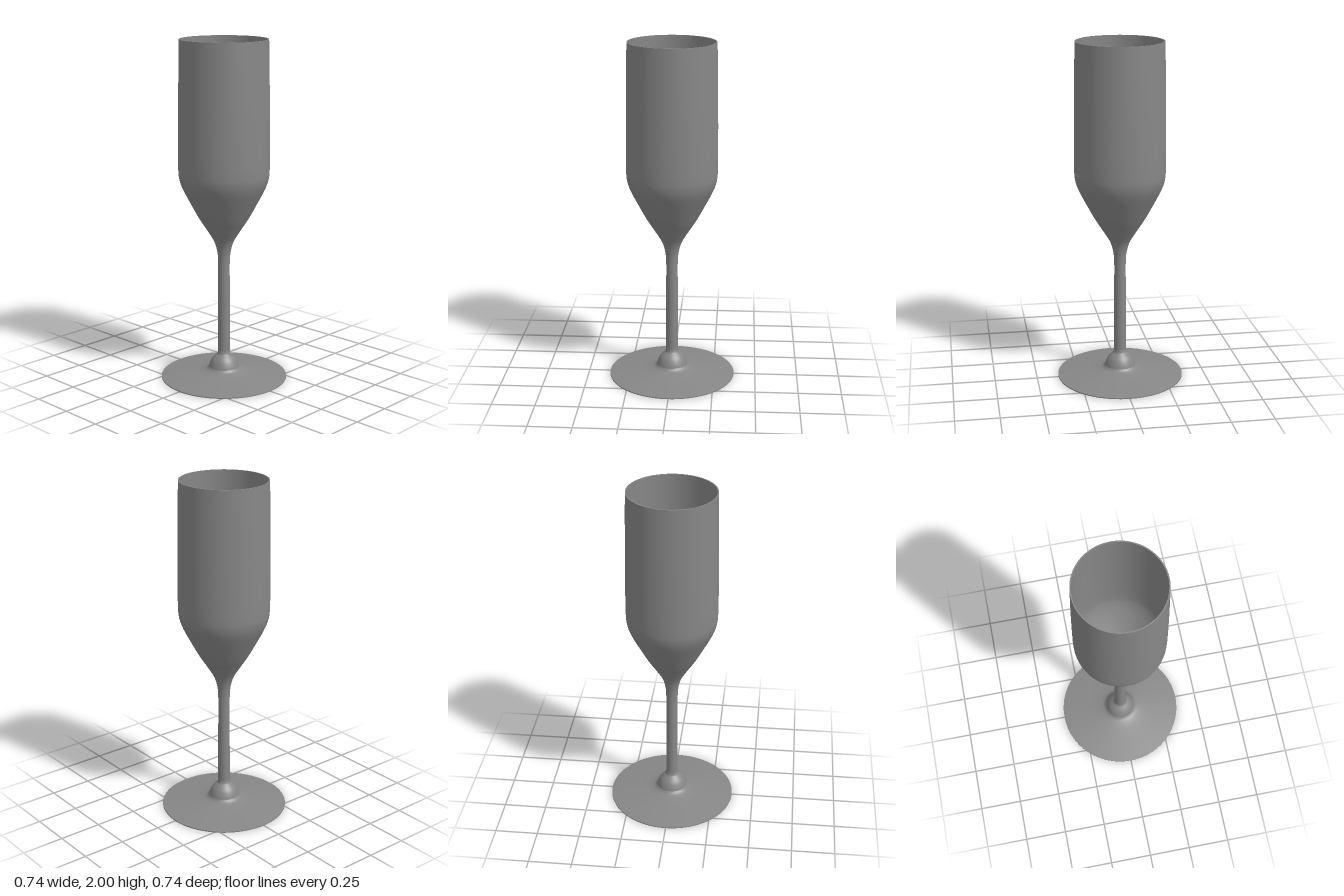
import * as THREE from 'three';

const material = new THREE.MeshStandardMaterial({ color: 0x878787 });
const SEGMENTS = 96;

// Smooth curve through [radius, height] pairs
function smooth(pairs, divisions) {
  const curve = new THREE.SplineCurve(pairs.map(([r, y]) => new THREE.Vector2(r, y)));
  return curve.getPoints(divisions).map((p) => new THREE.Vector2(Math.max(p.x, 0), p.y));
}

function straight(pairs) {
  return pairs.map(([r, y]) => new THREE.Vector2(r, y));
}

function turned(name, points) {
  const mesh = new THREE.Mesh(new THREE.LatheGeometry(points, SEGMENTS), material);
  mesh.name = name;
  return mesh;
}

export function createModel() {
  const glass = new THREE.Group();
  glass.name = 'fluteGlass';

  // Foot: flat underside, thin edge, gently rising top
  glass.add(turned('footUnderside', straight([[0, 0], [0.372, 0]])));
  glass.add(turned('footEdge', straight([[0.372, 0], [0.372, 0.006]])));
  glass.add(turned('footTop', smooth([
    [0.372, 0.006], [0.3, 0.015], [0.2, 0.027], [0.14, 0.036], [0.105, 0.046], [0.09, 0.06],
  ], 30)));

  // Rounded knob between foot and stem
  glass.add(turned('knob', smooth([
    [0.09, 0.06], [0.084, 0.08], [0.072, 0.105], [0.055, 0.125], [0.04, 0.14], [0.035, 0.16],
  ], 24)));

  // Straight stem
  glass.add(turned('stem', straight([[0.035, 0.16], [0.034, 0.6]])));

  // Bowl exterior, flaring out of the stem and tapering slightly to the rim
  glass.add(turned('bowlOutside', smooth([
    [0.034, 0.6], [0.034, 0.7], [0.039, 0.765], [0.058, 0.83], [0.1, 0.9], [0.145, 0.97],
    [0.197, 1.065], [0.238, 1.145], [0.257, 1.2], [0.263, 1.26], [0.263, 1.4],
    [0.26, 1.65], [0.253, 2],
  ], 90)));

  // Rim and hollow interior with a rounded bottom
  glass.add(turned('rim', straight([[0.253, 2], [0.246, 2]])));
  glass.add(turned('bowlInside', smooth([
    [0.246, 2], [0.252, 1.65], [0.255, 1.4], [0.254, 1.26], [0.246, 1.2], [0.222, 1.135],
    [0.18, 1.06], [0.135, 0.993], [0.095, 0.945], [0.05, 0.912], [0, 0.9],
  ], 80)));

  return glass;
}
